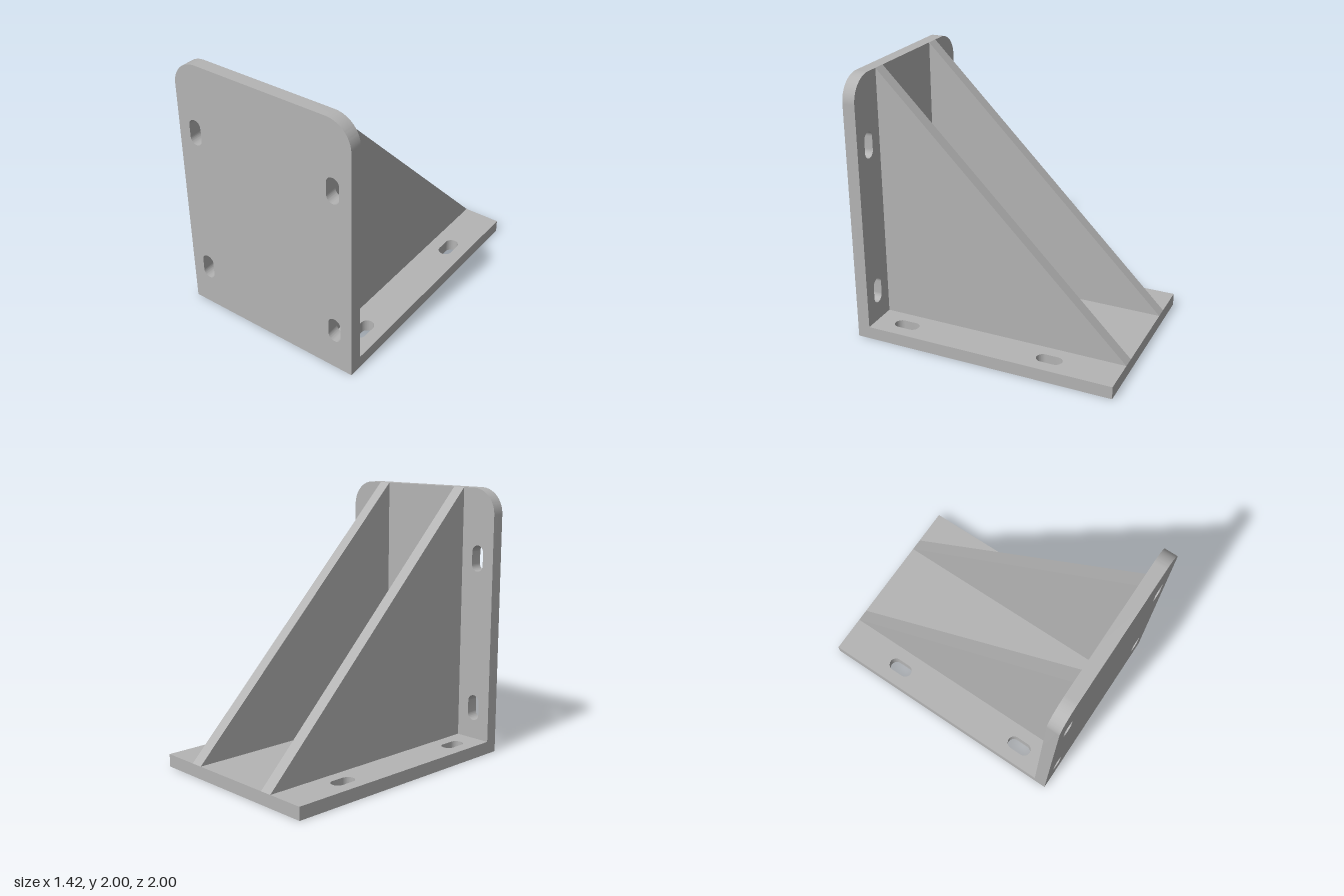
import * as THREE from 'three';
import { toCreasedNormals } from 'three/addons/utils/BufferGeometryUtils.js';

const HALF_W = 0.7125; // half plate width
const T = 0.095;       // plate and rib thickness
const CORNER = 0.19;   // upper corner radius

// Upright obround hole centred on (x, y)
function slot(x, y, r = 0.05, half = 0.0475) {
  const path = new THREE.Path();
  path.absarc(x, y + half, r, 0, Math.PI, false);
  path.absarc(x, y - half, r, Math.PI, Math.PI * 2, false);
  path.closePath();
  return path;
}

// Slotted plate outline from y = bottom to y = 2, with optional rounded top
function plateShape(bottom, radius) {
  const s = new THREE.Shape();
  s.moveTo(-HALF_W, bottom);
  s.lineTo(HALF_W, bottom);
  if (radius > 0) {
    s.absarc(HALF_W - radius, 2 - radius, radius, 0, Math.PI / 2, false);
    s.absarc(-HALF_W + radius, 2 - radius, radius, Math.PI / 2, Math.PI, false);
  } else {
    s.lineTo(HALF_W, 2);
    s.lineTo(-HALF_W, 2);
  }
  s.closePath();
  for (const x of [-0.57, 0.57]) {
    for (const y of [0.335, 1.48]) s.holes.push(slot(x, y));
  }
  return s;
}

function extrude(shape) {
  const geo = new THREE.ExtrudeGeometry(shape, { depth: T, bevelEnabled: false, curveSegments: 16 });
  return toCreasedNormals(geo, 0.5);
}

export function createModel() {
  const group = new THREE.Group();
  group.name = 'angleBracket';
  const steel = new THREE.MeshStandardMaterial({ color: 0xb4b4b4 });
  steel.name = 'grey steel';

  const add = (name, geo) => {
    const mesh = new THREE.Mesh(geo, steel);
    mesh.name = name;
    group.add(mesh);
    return mesh;
  };

  // Upright plate at the front
  add('uprightPlate', extrude(plateShape(0, CORNER))).position.z = 1 - T;

  // Base plate, laid flat behind the upright
  add('basePlate', extrude(plateShape(T, 0)).rotateX(-Math.PI / 2)).position.z = 1;

  // Two triangular gusset ribs
  const rib = new THREE.Shape([
    new THREE.Vector2(-1, T),
    new THREE.Vector2(1 - T, T),
    new THREE.Vector2(1 - T, 2),
  ]);
  for (const [name, x] of [['leftRib', 0.38], ['rightRib', -0.38]]) {
    add(name, extrude(rib).rotateY(-Math.PI / 2)).position.x = x + T / 2;
  }

  return group;
}
